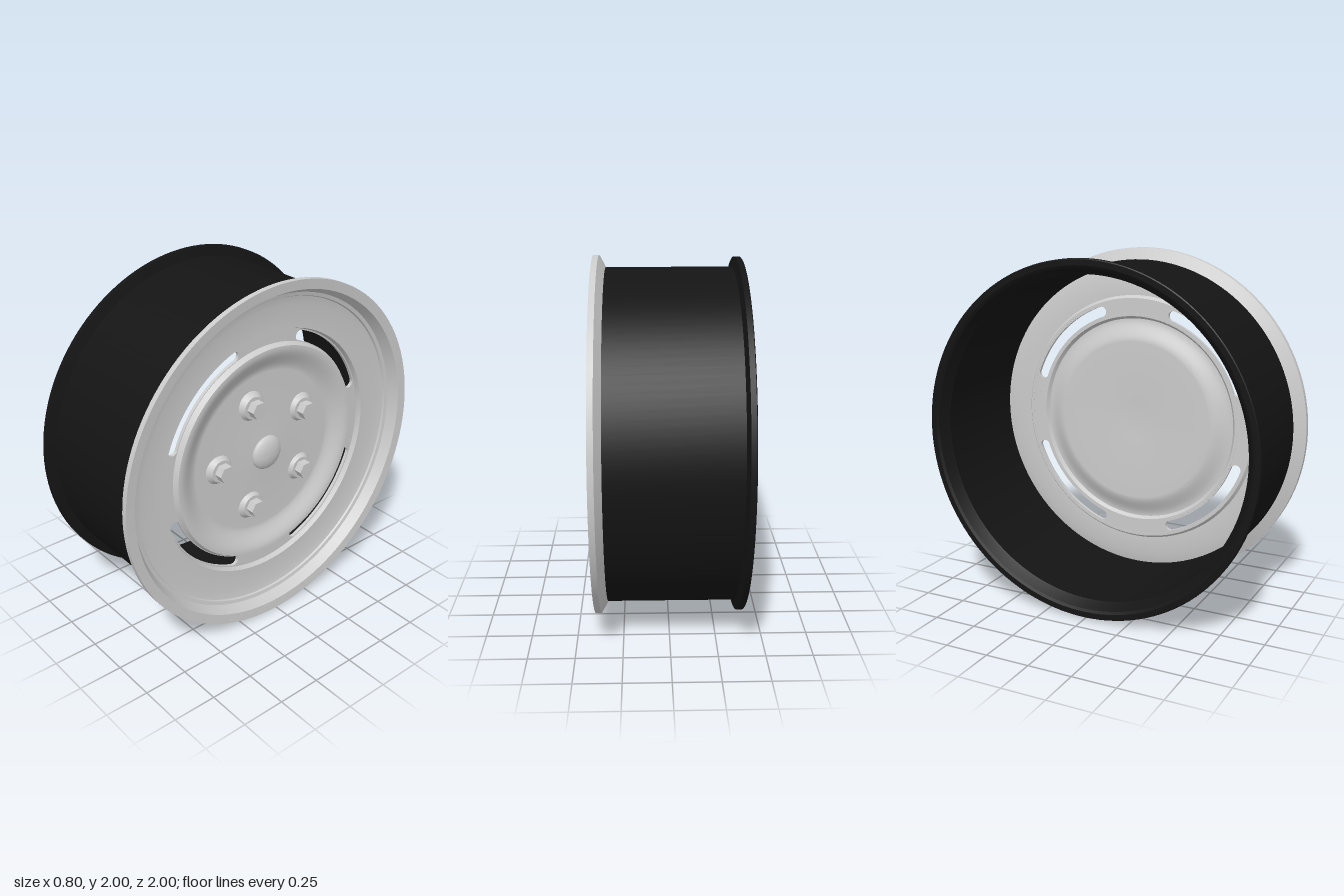
import * as THREE from 'three';
import { toCreasedNormals } from 'three/addons/utils/BufferGeometryUtils.js';

const grey = new THREE.MeshStandardMaterial({ color: 0xcccccc });
const black = new THREE.MeshStandardMaterial({ color: 0x141414 });

export function createModel() {
  const model = new THREE.Group();
  model.name = 'wheel';

  const add = (name, geometry, material = grey, parent = model) => {
    const mesh = new THREE.Mesh(geometry, material);
    mesh.name = name;
    parent.add(mesh);
    return mesh;
  };

  // Spin a profile of [radius, x] pairs around the axle (x axis)
  const spin = (name, profile, material = grey, segments = 128, parent = model) => {
    const points = profile.map(([r, x]) => new THREE.Vector2(r, x));
    const geometry = toCreasedNormals(new THREE.LatheGeometry(points, segments), 0.35);
    return add(name, geometry.rotateZ(-Math.PI / 2), material, parent);
  };

  // Barrel with a flared lip on the inboard edge
  spin('barrel', [
    [0.905, -0.335], [0.912, -0.345], [0.94, -0.393], [0.955, -0.402], [0.985, -0.402],
    [0.99, -0.398], [0.99, -0.37], [0.935, -0.355], [0.935, 0.335],
    [0.905, 0.31], [0.905, -0.335],
  ], black);

  // Outboard lip, bead steps and flat outer face
  spin('outerRim', [
    [0.935, 0.335], [1, 0.37], [1, 0.402], [0.945, 0.397], [0.915, 0.34],
    [0.895, 0.335], [0.89, 0.325], [0.845, 0.315], [0.715, 0.315], [0.705, 0.285],
    [0.705, 0.265], [0.72, 0.265], [0.735, 0.285], [0.845, 0.285], [0.915, 0.305],
    [0.935, 0.335],
  ]);

  // Smooth bowl between the groove and the hub plate
  const bowl = (rOut, xOut, rIn, xIn) => Array.from({ length: 13 }, (_, i) => {
    const t = i / 12;
    const s = t * t * (3 - 2 * t);
    return [rOut + (rIn - rOut) * t, xOut + (xIn - xOut) * s];
  });
  spin('centreDish', [
    [0.63, 0.265], [0.635, 0.285], [0.62, 0.315],
    ...bowl(0.61, 0.315, 0.47, 0.265),
    [0.1, 0.29], [0, 0.29],
  ]);
  spin('centreDishBack', [
    [0, 0.265], [0.1, 0.265],
    ...bowl(0.6, 0.285, 0.47, 0.24).reverse(),
    [0.615, 0.265], [0.63, 0.265],
  ]);

  // Recessed groove floor with four curved vent slots
  const floor = new THREE.Shape();
  floor.absarc(0, 0, 0.712, 0, Math.PI * 2, false);
  const centre = new THREE.Path();
  centre.absarc(0, 0, 0.625, 0, Math.PI * 2, true);
  floor.holes.push(centre);
  const rMid = 0.668, half = 0.03, sweep = THREE.MathUtils.degToRad(25);
  for (let i = 0; i < 4; i++) {
    const mid = Math.PI / 4 + i * Math.PI / 2;
    const a = mid - sweep, b = mid + sweep;
    const slot = new THREE.Path();
    slot.absarc(0, 0, rMid + half, a, b, false);
    slot.absarc(rMid * Math.cos(b), rMid * Math.sin(b), half, b, b + Math.PI, false);
    slot.absarc(0, 0, rMid - half, b, a, true);
    slot.absarc(rMid * Math.cos(a), rMid * Math.sin(a), half, a + Math.PI, a + Math.PI * 2, false);
    floor.holes.push(slot);
  }
  const floorGeometry = new THREE.ExtrudeGeometry(floor, {
    depth: 0.02, bevelEnabled: false, curveSegments: 40,
  });
  floorGeometry.rotateY(Math.PI / 2).translate(0.266, 0, 0);
  add('slottedGroove', toCreasedNormals(floorGeometry, 0.5));

  // Domed hub cap
  const dome = Array.from({ length: 9 }, (_, i) => {
    const a = i / 8 * Math.PI / 2;
    return [0.1 * Math.cos(a), 0.29 + 0.04 * Math.sin(a)];
  });
  dome[8][0] = 0;
  spin('hubCap', [[0.1, 0.28], ...dome], grey, 48);

  // Five lug nuts on conical seats
  for (let i = 0; i < 5; i++) {
    const a = i * Math.PI * 2 / 5;
    const lug = new THREE.Group();
    lug.name = 'lugNut';
    lug.position.set(0, 0.32 * Math.sin(a), 0.32 * Math.cos(a));
    spin('lugSeat', [[0.092, 0.262], [0.064, 0.3], [0, 0.3]], grey, 32, lug);
    const hex = new THREE.CylinderGeometry(0.049, 0.049, 0.06, 6).toNonIndexed();
    hex.computeVertexNormals();
    hex.rotateZ(-Math.PI / 2).translate(0.318, 0, 0);
    add('hexNut', hex, grey, lug);
    model.add(lug);
  }

  model.position.y = 1;
  const root = new THREE.Group();
  root.name = 'wheelRim';
  root.add(model);
  return root;
}
